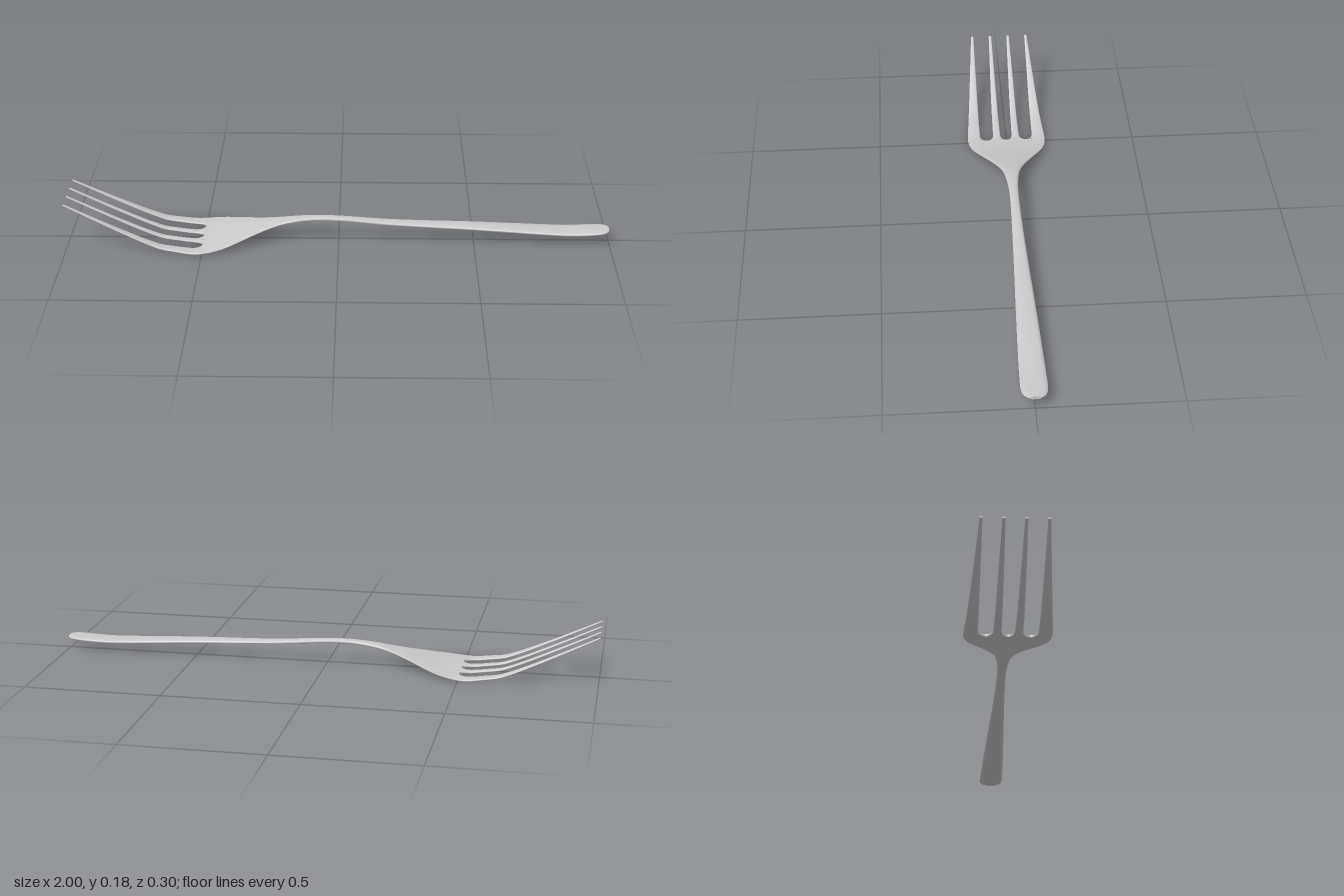
import * as THREE from 'three';

// smooth curve through [x, value] keys, x ascending
function curve(keys) {
  const slope = (i) => {
    const a = keys[Math.max(i - 1, 0)], b = keys[Math.min(i + 1, keys.length - 1)];
    return (b[1] - a[1]) / (b[0] - a[0]);
  };
  return (x) => {
    let i = 0;
    while (i < keys.length - 2 && x > keys[i + 1][0]) i++;
    const [x0, v0] = keys[i], [x1, v1] = keys[i + 1];
    const d = x1 - x0, t = THREE.MathUtils.clamp((x - x0) / d, 0, 1), s = 1 - t;
    return v0 * (1 + 2 * t) * s * s + v1 * t * t * (3 - 2 * t)
      + d * t * s * (slope(i) * s - slope(i + 1) * t);
  };
}

// side profile, half thickness and half width along the length
const height = curve([[-1, 0.181], [-0.8, 0.085], [-0.66, 0.025], [-0.6, 0.014], [-0.52, 0.006],
  [-0.42, 0.02], [-0.3, 0.05], [-0.2, 0.073], [-0.1, 0.084], [0, 0.083], [0.2, 0.068],
  [0.5, 0.056], [0.82, 0.04], [0.9, 0.041], [1, 0.047]]);
const thickness = curve([[-1, 0.003], [-0.66, 0.005], [-0.35, 0.005], [-0.2, 0.007],
  [0, 0.008], [0.9, 0.008], [1, 0.006]]);
const halfWidth = curve([[-1, 0.115], [-0.75, 0.135], [-0.6, 0.147], [-0.5, 0.152],
  [-0.43, 0.138], [-0.37, 0.107], [-0.3, 0.068], [-0.25, 0.045], [-0.2, 0.03], [-0.1, 0.019],
  [0, 0.017], [0.2, 0.022], [0.4, 0.029], [0.7, 0.04], [0.93, 0.046], [0.97, 0.043],
  [0.99, 0.034], [1, 0.021]]);

// how far the slots have opened: 0 at their round root, 1 along the tines
const rootX = -0.5, rootLength = 0.04;
const open = (x) => {
  const t = Math.min((rootX - x) / rootLength, 1);
  return Math.sqrt(Math.max(0, 1 - (1 - t) ** 2));
};

// lens section: thick in the middle, thin at the edges
const lens = (f) => 1 - 0.65 * Math.abs(f) ** 3;
const steps = [1, 0.8, 0.5, 0, -0.5, -0.8, -1];
const section = [...steps.map((f) => [f, 1]), ...steps.map((f) => [-f, -1])];

// loft over descending xs; edges(x) gives [zMin, zMax]; one end is closed
function loft(name, xs, edges, capFirst, material) {
  const N = section.length, pos = [], index = [];
  const ring = (x) => {
    const [a, b] = edges(x);
    for (const [f, side] of section) {
      const z = (a + b) / 2 + f * (b - a) / 2;
      const bulge = THREE.MathUtils.lerp(lens(z / halfWidth(x)), lens(f), open(x));
      pos.push(x, height(x) + side * thickness(x) * bulge, z);
    }
  };
  xs.forEach(ring);
  for (let j = 0; j < xs.length - 1; j++) {
    for (let k = 0; k < N; k++) {
      const p = j * N + k, q = j * N + (k + 1) % N;
      index.push(p, q, p + N, q, q + N, p + N);
    }
  }
  // end cap with its own vertices for a sharp rim
  const base = pos.length / 3;
  ring(capFirst ? xs[0] : xs[xs.length - 1]);
  for (let k = 1; k < N - 1; k++) {
    if (capFirst) index.push(base, base + k + 1, base + k);
    else index.push(base, base + k, base + k + 1);
  }
  const geo = new THREE.BufferGeometry();
  geo.setAttribute('position', new THREE.Float32BufferAttribute(pos, 3));
  geo.setIndex(index);
  geo.computeVertexNormals();
  const mesh = new THREE.Mesh(geo, material);
  mesh.name = name;
  return mesh;
}

export function createModel() {
  const group = new THREE.Group();
  group.name = 'fork';
  const metal = new THREE.MeshStandardMaterial({ color: 0xcccccc });

  // handle, neck and bowl in one sweep
  const bodyX = [1, 0.997, 0.99, 0.98, 0.97, 0.95];
  for (let i = 0; i <= 56; i++) bodyX.push(0.93 - 1.43 * i / 56);
  group.add(loft('handleAndBowl', bodyX, (x) => [-halfWidth(x), halfWidth(x)], true, metal));

  // tines, with close sections round the slot roots
  const tineX = [];
  for (let i = 0; i <= 8; i++) tineX.push(rootX - rootLength * (1 - Math.cos(i / 8 * Math.PI / 2)));
  for (let i = 1; i <= 24; i++) tineX.push(-0.54 - 0.46 * i / 24);
  const slotEdge = (center, keys) => {
    const edge = curve(keys);
    return (x) => center + (edge(x) - center) * open(x);
  };
  const innerA = slotEdge(0, [[-1, 0.031], [-0.75, 0.026], [-0.5, 0.022]]);
  const innerB = slotEdge(0.077, [[-1, 0.042], [-0.75, 0.048], [-0.5, 0.052]]);
  const outerA = slotEdge(0.077, [[-1, 0.105], [-0.75, 0.104], [-0.5, 0.103]]);
  for (const [label, a, b] of [['inner', innerA, innerB], ['outer', outerA, halfWidth]]) {
    group.add(loft(label + 'TineLeft', tineX, (x) => [a(x), b(x)], false, metal));
    group.add(loft(label + 'TineRight', tineX, (x) => [-b(x), -a(x)], false, metal));
  }
  return group;
}
